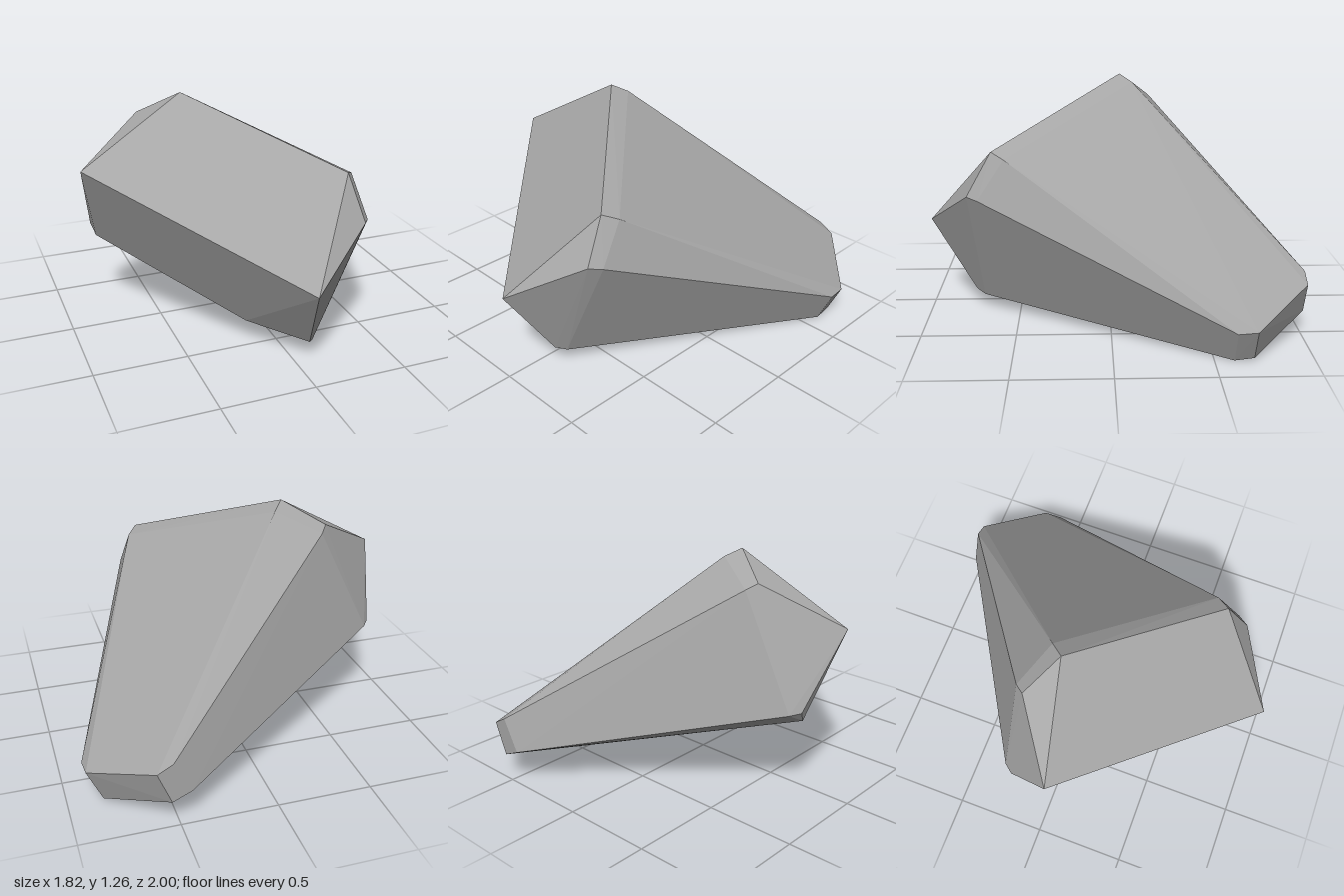
import * as THREE from 'three';
import { ConvexGeometry } from 'three/addons/geometries/ConvexGeometry.js';

export function createModel() {
  const group = new THREE.Group();
  group.name = 'rock';

  const stoneGray = new THREE.MeshStandardMaterial({ color: 0xa6a6a6 });
  stoneGray.name = 'stoneGray';

  // Broad end: slanted face and its bevelled corners
  const broadEnd = [
    [-0.91, 0.925, 0.05], [-0.33, 1.26, -0.07], [0.33, 0.95, 0.62], [0, 0.49, 1],
    [-0.27, 1.22, -0.14], [0.385, 0.92, 0.55], [0.37, 0.72, 0.75], [0.415, 0.71, 0.69],
    [-0.54, 1.14, -0.2], [-0.5, 1.11, -0.25],
  ];
  // Lower edge of the broad end
  const lowerEdge = [
    [-0.83, 0.53, -0.2], [-0.81, 0.47, -0.16], [-0.79, 0.52, -0.25],
    [-0.17, 0.14, 0.49], [0.08, 0.1, 0.75], [0.12, 0.08, 0.7],
  ];
  // Narrow end: small chipped facet, upper then lower rim
  const narrowEnd = [
    [0.905, 0.175, -0.6], [0.9, 0.18, -0.7], [0.61, 0.31, -1], [0.53, 0.355, -1],
    [0.825, 0, -0.6], [0.82, 0.01, -0.7], [0.54, 0.14, -1], [0.44, 0.185, -1],
  ];

  const corners = [...broadEnd, ...lowerEdge, ...narrowEnd].map((p) => new THREE.Vector3(...p));
  const stone = new THREE.Mesh(new ConvexGeometry(corners), stoneGray);
  stone.name = 'stone';
  group.add(stone);
  return group;
}
